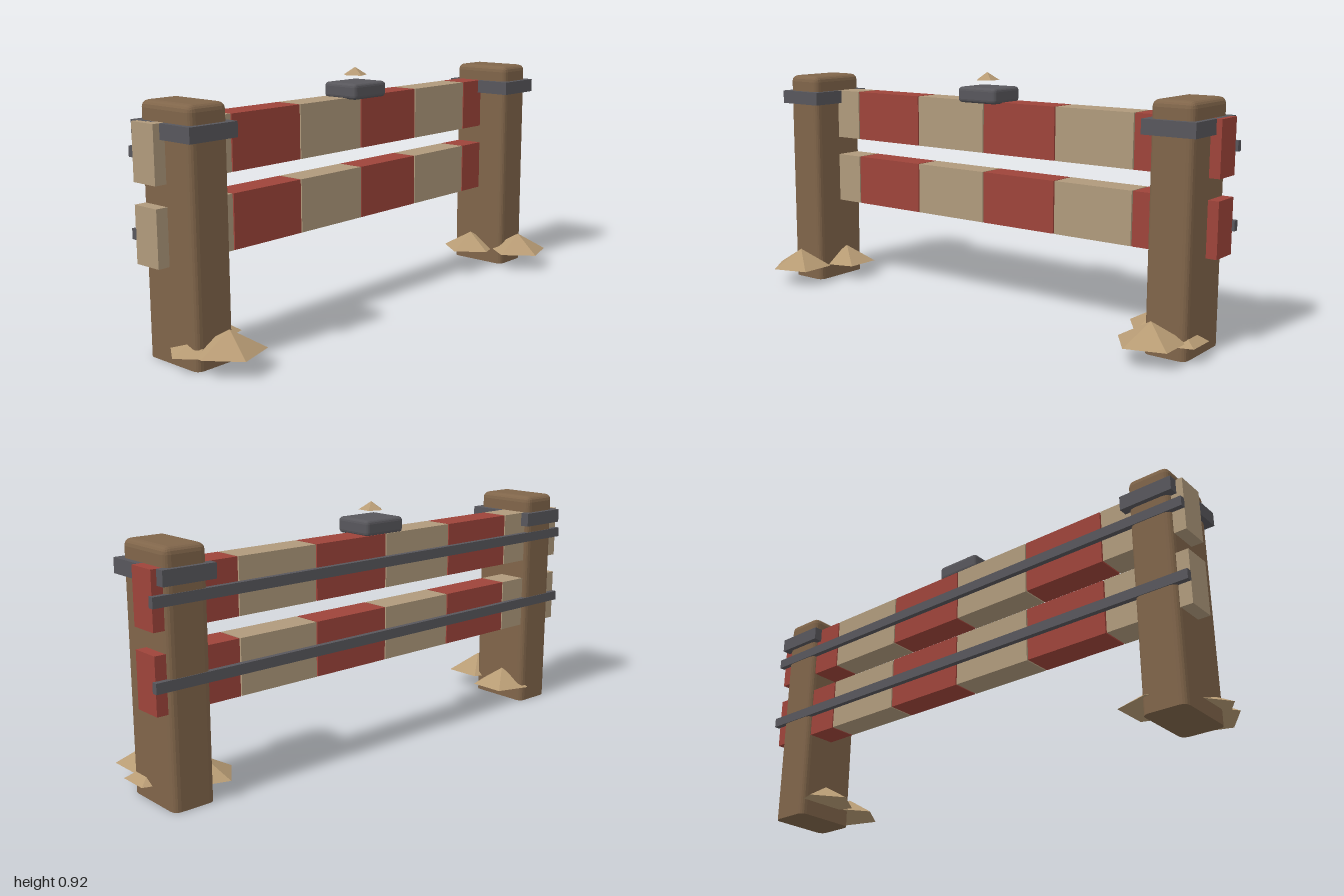
import * as THREE from 'three';
import { RoundedBoxGeometry } from 'three/addons/geometries/RoundedBoxGeometry.js';

const material = (name, color) => {
  const m = new THREE.MeshStandardMaterial({ color, flatShading: true });
  m.name = name;
  return m;
};

export function createModel() {
  const group = new THREE.Group();
  const wood = material('brown wood', 0x80654a);
  const red = material('red paint', 0x9e443a);
  const tan = material('tan paint', 0xb09a7c);
  const metal = material('grey metal', 0x58575c);
  const stone = material('sandstone', 0xb79b74);

  const add = (name, geometry, mat, x, y, z) => {
    const mesh = new THREE.Mesh(geometry, mat);
    mesh.name = name;
    mesh.position.set(x, y, z);
    group.add(mesh);
    return mesh;
  };
  // Box given by its lower and upper corners
  const box = (name, mat, [x0, y0, z0], [x1, y1, z1]) =>
    add(name, new THREE.BoxGeometry(x1 - x0, y1 - y0, z1 - z0), mat,
      (x0 + x1) / 2, (y0 + y1) / 2, (z0 + z1) / 2);
  // Low five-sided cone with one corner towards -x
  const shard = (name, x, y, z, radius, height) =>
    add(name, new THREE.ConeGeometry(radius, height, 5, 1, false, -Math.PI / 2),
      stone, x, y + height / 2, z);

  // Post with rounded top and upright edges, cut flat at the ground
  const r = 0.025, postHeight = 0.875;
  const postGeometry = new RoundedBoxGeometry(0.16, postHeight + r, 0.254, 2, r);
  postGeometry.translate(0, (postHeight - r) / 2, 0);
  const p = postGeometry.attributes.position;
  for (let i = 0; i < p.count; i++) p.setY(i, Math.max(0, p.getY(i)));
  postGeometry.computeVertexNormals();

  // Posts, collars and the stones at their feet
  for (const [side, x] of [['right', -0.86], ['left', 0.87]]) {
    add(side + 'Post', postGeometry, wood, x, 0, -0.075);
    box(side + 'Collar', metal, [x - 0.1, 0.757, -0.22], [x + 0.1, 0.81, 0.073]);
    const s = Math.sign(x);
    shard(side + 'FrontStone', s * 0.846, 0.065, 0.11 - 0.007, 0.125, 0.073);
    shard(side + 'OuterStone', s * 0.905, 0.055, 0, 0.098, 0.05);
    shard(side + 'InnerStone', s * 0.772, 0.06, -0.1, 0.12, 0.068);
  }

  // Two rails of alternating painted blocks, each with a metal strip behind
  for (const [name, y] of [['lower', 0.335], ['upper', 0.61]]) {
    for (let i = 0; i < 6; i++) {
      const x = -0.985 + i * 0.33;
      box(name + 'RailBlock', i % 2 ? red : tan, [x, y, -0.185], [x + 0.325, y + 0.2, -0.074]);
    }
    box(name + 'BackStrip', metal, [-0.985, y + 0.081, -0.205], [1, y + 0.118, -0.183]);
  }

  // Middle cap and the small stone above it
  add('middleCap', new RoundedBoxGeometry(0.18, 0.06, 0.16, 2, 0.014), metal, 0.005, 0.835, -0.105);
  shard('topStone', 0, 0.89, -0.102, 0.047, 0.03);

  return group;
}
